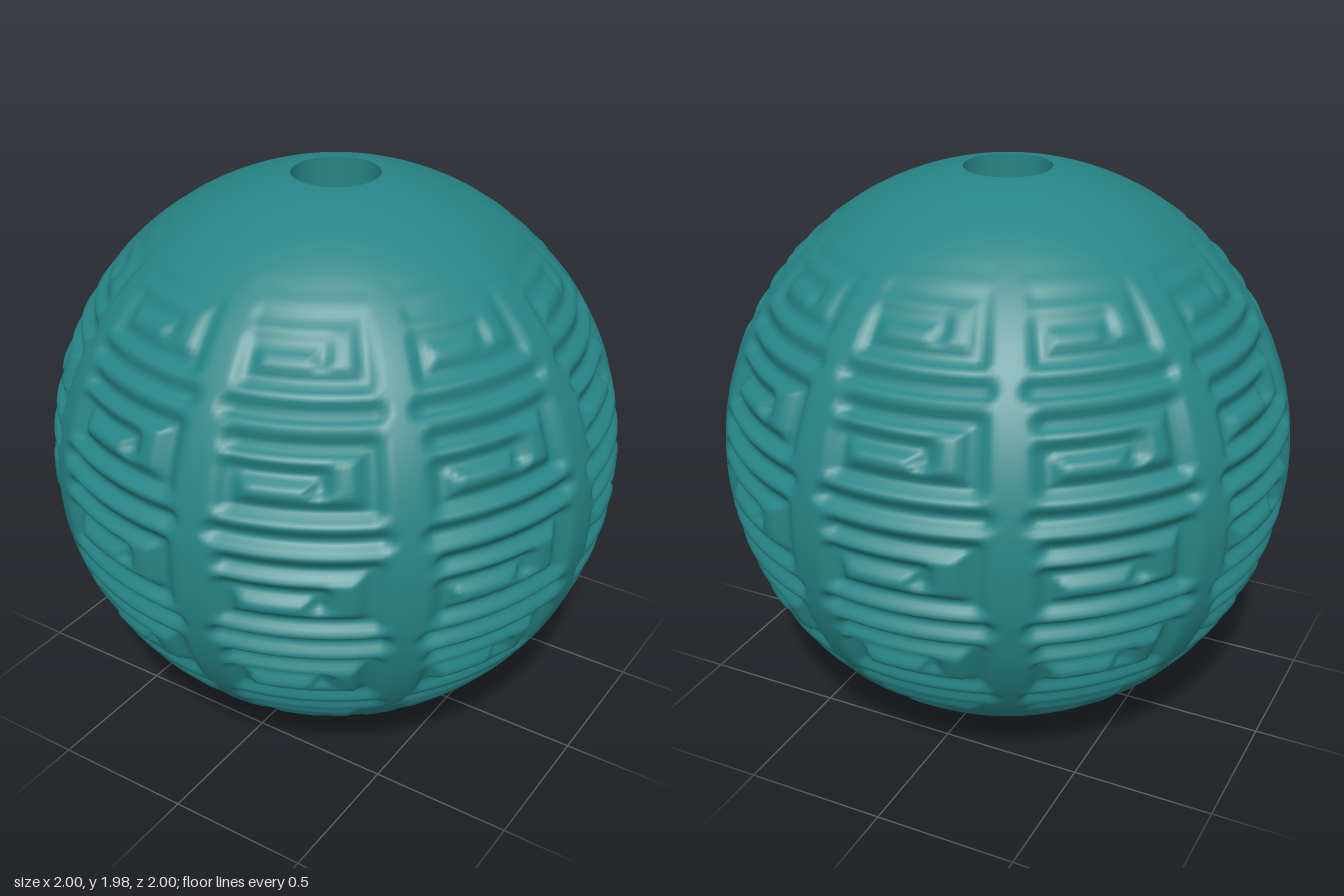
import * as THREE from 'three';

const COLUMNS = 9, CELL_W = 40, CELL_H = 22.5; // carved cells, in degrees
const CENTER_AZ = 26, CENTER_LAT = -1;         // centre of one cell
const DEPTH = 0.034, HALF_WIDTH = 2.9;
const HOLE = 0.15, HALF_H = Math.sqrt(1 - HOLE * HOLE);

// Groove paths inside one cell: a squared spiral and the border lines
const SPIRAL = [[-13, 5.6], [13.5, 5.6], [13.5, -5.8], [-13, -5.8], [-13, 0.6], [4, 0.6], [4, -1.5]];
const BORDERS = [
  [[-15, CELL_H / 2], [15, CELL_H / 2]],
  [[-15, -CELL_H / 2], [15, -CELL_H / 2]],
];
const PATHS = [SPIRAL, ...BORDERS];

function segmentDistance(x, y, [ax, ay], [bx, by]) {
  const sx = 0.8; // upright grooves are a little wider
  const dx = (bx - ax) * sx, dy = by - ay, px = (x - ax) * sx, py = y - ay;
  const t = THREE.MathUtils.clamp((px * dx + py * dy) / (dx * dx + dy * dy), 0, 1);
  return Math.hypot(px - t * dx, py - t * dy);
}

// Offset from the centre of the nearest cell
const wrap = (v, size) => v - size * Math.round(v / size);

function radiusAt(az, lat) {
  const x = wrap(az - CENTER_AZ, CELL_W), y = wrap(lat - CENTER_LAT, CELL_H);
  let d = Infinity;
  for (const path of PATHS) {
    for (let i = 1; i < path.length; i++) d = Math.min(d, segmentDistance(x, y, path[i - 1], path[i]));
  }
  const groove = 1 - THREE.MathUtils.smoothstep(d, 0, HALF_WIDTH);
  const fade = 1 - THREE.MathUtils.smoothstep(Math.abs(lat), 22, 60);
  return 1 - DEPTH * groove * fade;
}

// Sphere shell with rows packed more tightly around the middle
function carvedShell() {
  const cols = COLUMNS * 36, rows = 190;
  const maxLat = THREE.MathUtils.radToDeg(Math.acos(HOLE));
  const positions = [], index = [];
  for (let j = 0; j <= rows; j++) {
    const t = (2 * j) / rows - 1;
    const lat = maxLat * (t - 0.1 * Math.sin(Math.PI * t));
    const phi = THREE.MathUtils.degToRad(lat);
    for (let i = 0; i < cols; i++) {
      const az = (360 * i) / cols, a = THREE.MathUtils.degToRad(az);
      const r = radiusAt(az, lat);
      positions.push(r * Math.cos(phi) * Math.sin(a), r * Math.sin(phi), r * Math.cos(phi) * Math.cos(a));
      if (j < rows) {
        const p = j * cols + i, q = j * cols + ((i + 1) % cols);
        index.push(p, q, q + cols, p, q + cols, p + cols);
      }
    }
  }
  const geometry = new THREE.BufferGeometry();
  geometry.setAttribute('position', new THREE.Float32BufferAttribute(positions, 3));
  geometry.setIndex(index);
  geometry.computeVertexNormals();
  return geometry;
}

export function createModel() {
  const group = new THREE.Group();
  group.name = 'carvedBead';
  const teal = new THREE.MeshStandardMaterial({ color: 0x268486 });
  teal.name = 'teal';

  const shell = new THREE.Mesh(carvedShell(), teal);
  shell.name = 'carvedShell';

  // Bore wall, facing the axis: the profile runs downward
  const profile = [new THREE.Vector2(HOLE, HALF_H), new THREE.Vector2(HOLE, -HALF_H)];
  const bore = new THREE.Mesh(new THREE.LatheGeometry(profile, 108), teal);
  bore.name = 'bore';

  for (const mesh of [shell, bore]) {
    mesh.position.y = HALF_H;
    group.add(mesh);
  }
  return group;
}
